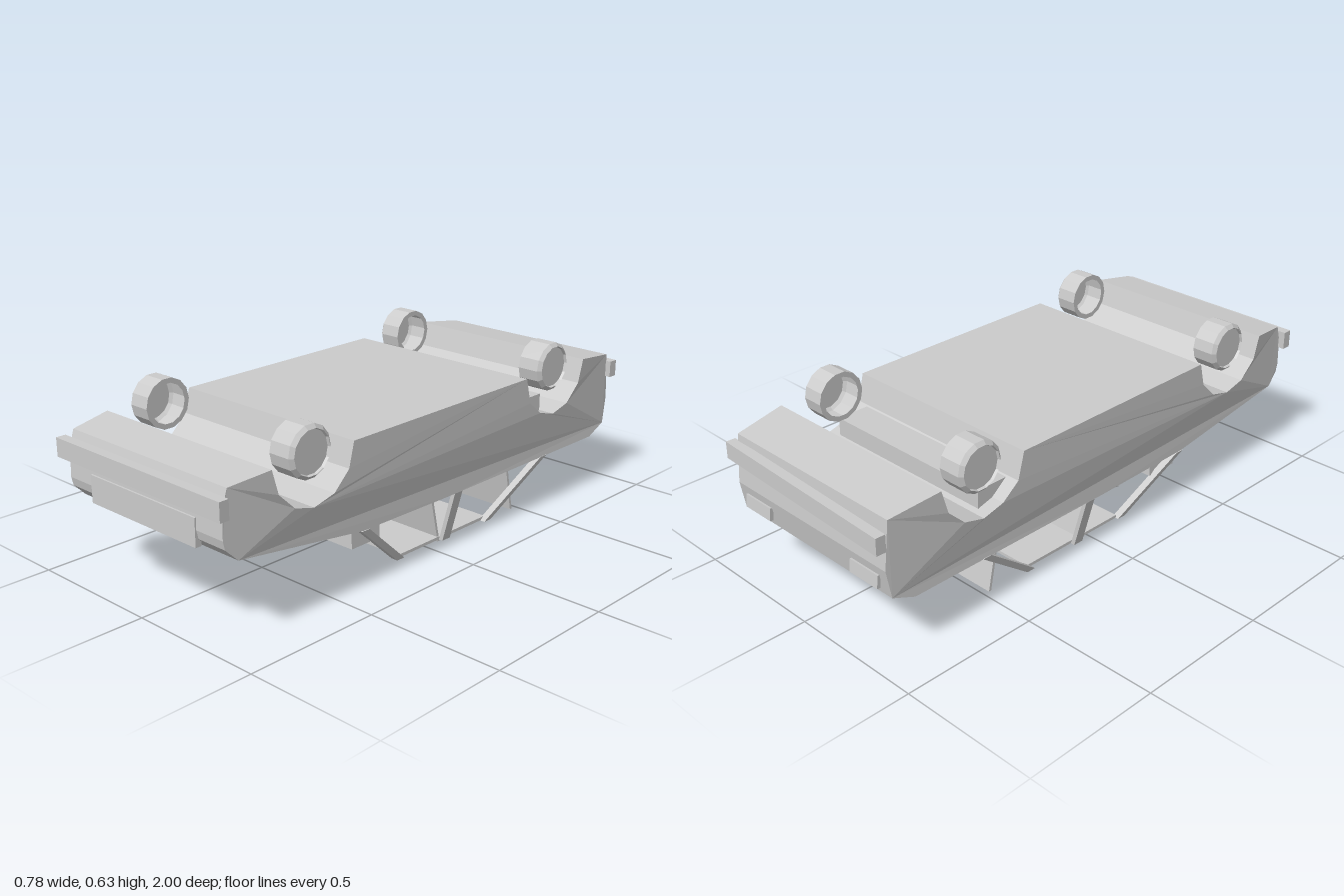
import * as THREE from 'three';

const mat = new THREE.MeshStandardMaterial({ color: 0xcccccc, flatShading: true, side: THREE.DoubleSide });

function add(parent, name, geometry, x = 0, y = 0, z = 0) {
  const mesh = new THREE.Mesh(geometry, mat);
  mesh.name = name;
  mesh.position.set(x, y, z);
  parent.add(mesh);
  return mesh;
}

// Box given by its limits on each axis
function block(parent, name, [x0, x1], [y0, y1], [z0, z1]) {
  const g = new THREE.BoxGeometry(x1 - x0, y1 - y0, z1 - z0);
  return add(parent, name, g, (x0 + x1) / 2, (y0 + y1) / 2, (z0 + z1) / 2);
}

// Sheared bar whose level ends are centred on two points
function bar(parent, name, a, b, w, d) {
  const g = new THREE.BoxGeometry(w, 1, d);
  const p = g.attributes.position;
  for (let i = 0; i < p.count; i++) {
    const t = p.getY(i) + 0.5;
    p.setXYZ(i,
      p.getX(i) + THREE.MathUtils.lerp(b[0], a[0], t),
      THREE.MathUtils.lerp(b[1], a[1], t),
      p.getZ(i) + THREE.MathUtils.lerp(b[2], a[2], t));
  }
  g.computeVertexNormals();
  return add(parent, name, g);
}

// Half width of the body: narrower towards the cabin and at both ends
function halfWidth(y, z) {
  const side = THREE.MathUtils.lerp(0.371, 0.39, THREE.MathUtils.smoothstep(y, 0.205, 0.42));
  const end = THREE.MathUtils.clamp((Math.abs(z) - 0.8) / 0.15, 0, 1);
  return Math.min(side, 0.39 - 0.024 * end);
}

function bodyGeometry() {
  // Side outline as (z, y), with wheel arches cut through
  const outline = [
    [0.8, 0.535], [0.95, 0.517], [0.968, 0.46], [0.972, 0.36], [0.965, 0.33], [0.92, 0.285],
    [0.4, 0.212], [-0.02, 0.205], [-0.85, 0.205], [-0.935, 0.24], [-0.953, 0.34], [-0.937, 0.51],
    [-0.75, 0.535], [-0.725, 0.45], [-0.66, 0.388], [-0.58, 0.366], [-0.5, 0.388], [-0.435, 0.44],
    [-0.41, 0.535], [0.46, 0.535], [0.482, 0.45], [0.545, 0.388], [0.63, 0.366], [0.71, 0.388], [0.775, 0.45],
  ];
  const shape = new THREE.Shape(outline.map(([z, y]) => new THREE.Vector2(z, y)));
  const g = new THREE.ExtrudeGeometry(shape, { depth: 1, bevelEnabled: false });
  g.translate(0, 0, -0.5);
  g.rotateY(-Math.PI / 2);
  const p = g.attributes.position;
  for (let i = 0; i < p.count; i++) {
    p.setX(i, Math.sign(p.getX(i)) * halfWidth(p.getY(i), p.getZ(i)));
  }
  g.computeVertexNormals();
  return g;
}

// Hollow wheel: open on the inside, bevelled and capped on the outside
function wheelGeometry(side) {
  const profile = [[0.07, -0.045], [0.088, -0.045], [0.088, 0.035], [0.075, 0.047], [0.072, 0.038], [0, 0.038]];
  const g = new THREE.LatheGeometry(profile.map(([r, h]) => new THREE.Vector2(r, h)), 14);
  g.rotateZ(-side * Math.PI / 2);
  return g;
}

export function createModel() {
  const car = new THREE.Group();
  car.name = 'overturnedCar';

  add(car, 'body', bodyGeometry());
  block(car, 'frontBumper', [-0.39, 0.39], [0.43, 0.495], [0.965, 1]);
  block(car, 'grille', [-0.25, 0.25], [0.305, 0.4], [0.955, 0.977]);
  block(car, 'fuelTank', [-0.34, 0.34], [0.37, 0.436], [-0.56, -0.44]);

  // Rear bumper, knocked askew
  const bumper = block(car, 'rearBumper', [-0.39, 0.39], [0.425, 0.485], [-0.985, -0.95]);
  bumper.rotation.y = -0.038;

  // Roof resting near the ground
  block(car, 'roof', [-0.3, 0.3], [0.013, 0.024], [-0.31, 0.14]);

  for (const s of [-1, 1]) {
    for (const z of [0.63, -0.58]) add(car, 'wheel', wheelGeometry(s), s * 0.336, 0.54, z);

    const light = block(car, 'tailLight', [s * 0.265 - 0.065, s * 0.265 + 0.065], [0.265, 0.31], [-0.957, -0.945]);
    light.rotation.x = 0.1;

    // Roof pillars
    bar(car, 'frontPillar', [s * 0.36, 0.211, 0.39], [s * 0.3, 0.014, 0.155], 0.026, 0.035);
    bar(car, 'middlePillar', [s * 0.362, 0.207, -0.075], [s * 0.31, 0.014, -0.075], 0.016, 0.04);
    bar(car, 'rearPillar', [s * 0.36, 0.207, -0.555], [s * 0.305, 0.012, -0.305], 0.026, 0.035);

    // Front seats
    bar(car, 'frontSeatBack', [s * 0.178, 0.206, -0.015], [s * 0.178, 0.004, -0.06], 0.236, 0.01);
    block(car, 'frontSeatCushion', [s * 0.178 - 0.118, s * 0.178 + 0.118], [0.198, 0.21], [-0.02, 0.2]);
  }

  // Rear bench
  bar(car, 'rearSeatBack', [0, 0.206, -0.433], [0, 0, -0.473], 0.59, 0.01);
  block(car, 'rearSeatCushion', [-0.295, 0.295], [0.198, 0.208], [-0.43, -0.25]);

  block(car, 'dashboard', [-0.33, 0.33], [0.138, 0.217], [0.28, 0.41]);
  const ring = new THREE.TorusGeometry(0.076, 0.008, 4, 10);
  add(car, 'steeringWheel', ring, -0.178, 0.138, 0.215);
  const column = new THREE.CylinderGeometry(0.01, 0.01, 0.08, 6).rotateX(Math.PI / 2);
  add(car, 'steeringColumn', column, -0.178, 0.15, 0.25);

  return car;
}
